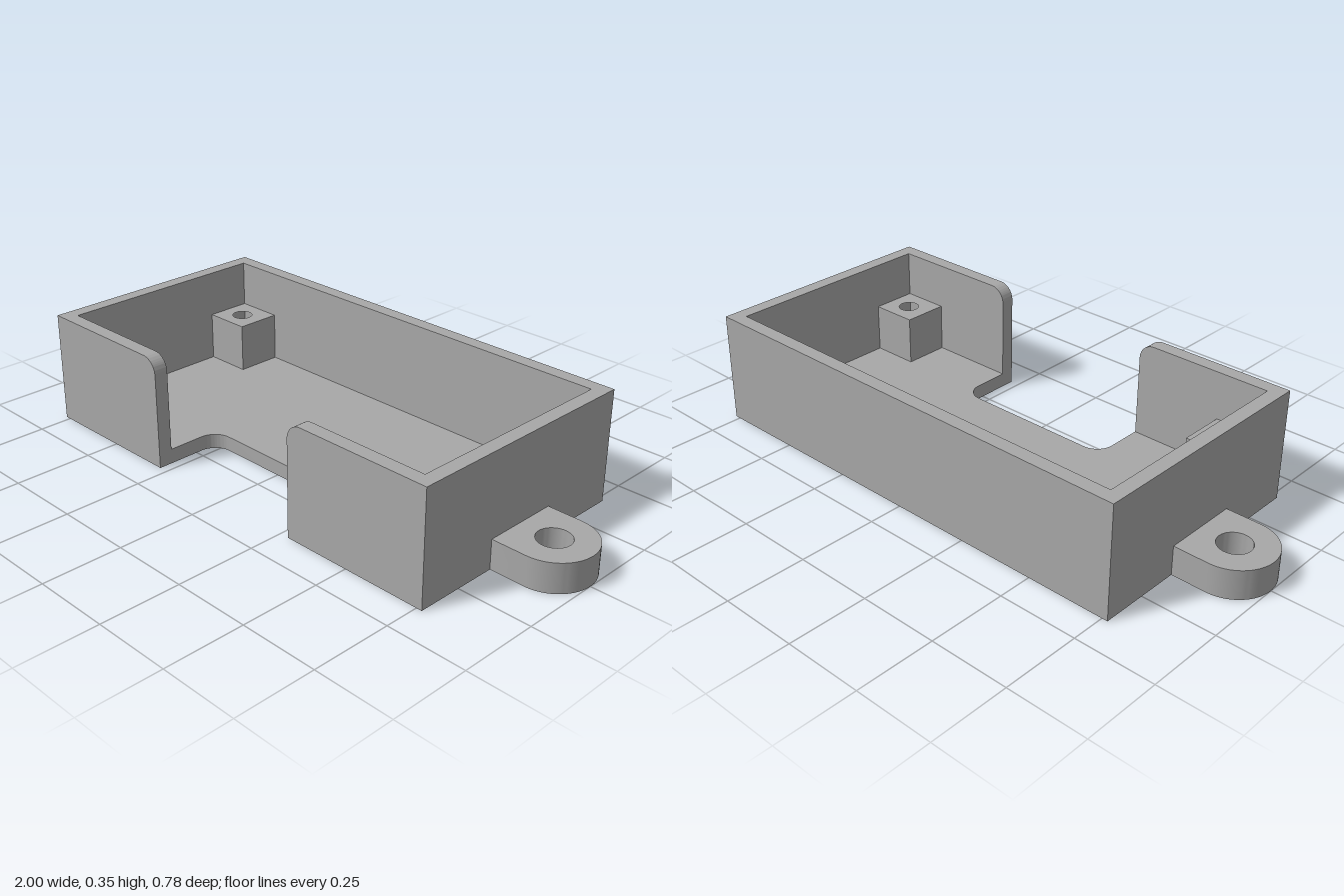
import * as THREE from 'three';
import { toCreasedNormals } from 'three/addons/utils/BufferGeometryUtils.js';

const W = 0.768, D = 0.392, H = 0.355; // half width, half depth, height
const T = 0.045, FLOOR = 0.047; // wall and floor thickness
const CUT_X = 0.28, CUT_Z = 0.17, CUT_R = 0.06; // front opening

export function createModel() {
  const model = new THREE.Group();
  model.name = 'mountingTray';
  const grey = new THREE.MeshStandardMaterial({ color: 0xa8a8a8 });
  grey.name = 'grey plastic';

  const extrude = (name, shape, depth) => {
    const raw = new THREE.ExtrudeGeometry(shape, { depth, bevelEnabled: false, curveSegments: 20 });
    const mesh = new THREE.Mesh(toCreasedNormals(raw, 0.6), grey);
    mesh.name = name;
    model.add(mesh);
    return mesh;
  };
  // Extrude a plan drawn in (x, -z) upwards from y0 to y1
  const slab = (name, shape, y0, y1) => {
    const mesh = extrude(name, shape, y1 - y0);
    mesh.geometry.rotateX(-Math.PI / 2);
    mesh.geometry.translate(0, y0, 0);
    return mesh;
  };
  const polygon = (pts) => new THREE.Shape(pts.map(([x, y]) => new THREE.Vector2(x, y)));
  const addHole = (shape, x, y, r) => {
    const hole = new THREE.Path();
    hole.absarc(x, y, r, 0, Math.PI * 2, true);
    shape.holes.push(hole);
  };

  // Floor with a round-cornered opening at the front
  const floor = new THREE.Shape();
  floor.moveTo(-W, -D);
  floor.lineTo(-CUT_X, -D);
  floor.lineTo(-CUT_X, -CUT_Z - CUT_R);
  floor.absarc(-CUT_X + CUT_R, -CUT_Z - CUT_R, CUT_R, Math.PI, Math.PI / 2, true);
  floor.absarc(CUT_X - CUT_R, -CUT_Z - CUT_R, CUT_R, Math.PI / 2, 0, true);
  floor.lineTo(CUT_X, -D);
  floor.lineTo(W, -D);
  floor.lineTo(W, D);
  floor.lineTo(-W, D);
  floor.closePath();
  slab('floor', floor, 0, FLOOR);

  // Back and side walls in one U
  const ix = W - T, iz = D - T;
  slab('backAndSideWalls', polygon([
    [-W, -D], [-ix, -D], [-ix, iz], [ix, iz], [ix, -D], [W, -D], [W, D], [-W, D],
  ]), FLOOR, H);

  for (const s of [-1, 1]) {
    const side = s > 0 ? 'left' : 'right';

    // Front wall, rounded at the top beside the opening
    const r = 0.05;
    const wall = new THREE.Shape();
    wall.moveTo(s * CUT_X, FLOOR);
    wall.lineTo(s * ix, FLOOR);
    wall.lineTo(s * ix, H);
    wall.lineTo(s * (CUT_X + r), H);
    wall.absarc(s * (CUT_X + r), H - r, r, Math.PI / 2, s > 0 ? Math.PI : 0, s < 0);
    wall.closePath();
    extrude(side + 'FrontWall', wall, T).position.z = iz;

    // Mounting ear with a through hole
    const earR = 0.122, earX = s * (1 - earR);
    const ear = new THREE.Shape();
    ear.moveTo(s * W, -s * earR);
    ear.lineTo(earX, -s * earR);
    ear.absarc(earX, 0, earR, -s * Math.PI / 2, s * Math.PI / 2 + (s < 0 ? Math.PI * 2 : 0), false);
    ear.lineTo(s * W, s * earR);
    ear.closePath();
    addHole(ear, earX, 0, 0.051);
    slab(side + 'MountingEar', ear, 0, 0.093);

    // Screw posts in the corners
    for (const t of [-1, 1]) {
      const a = 0.155;
      const post = polygon([
        [s * ix, t * iz], [s * (ix - a), t * iz], [s * (ix - a), t * (iz - a + 0.005)], [s * ix, t * (iz - a + 0.005)],
      ]);
      addHole(post, s * 0.648, t * 0.27, 0.033);
      slab(side + (t > 0 ? 'Back' : 'Front') + 'ScrewPost', post, FLOOR, 0.205);
    }
  }
  return model;
}
